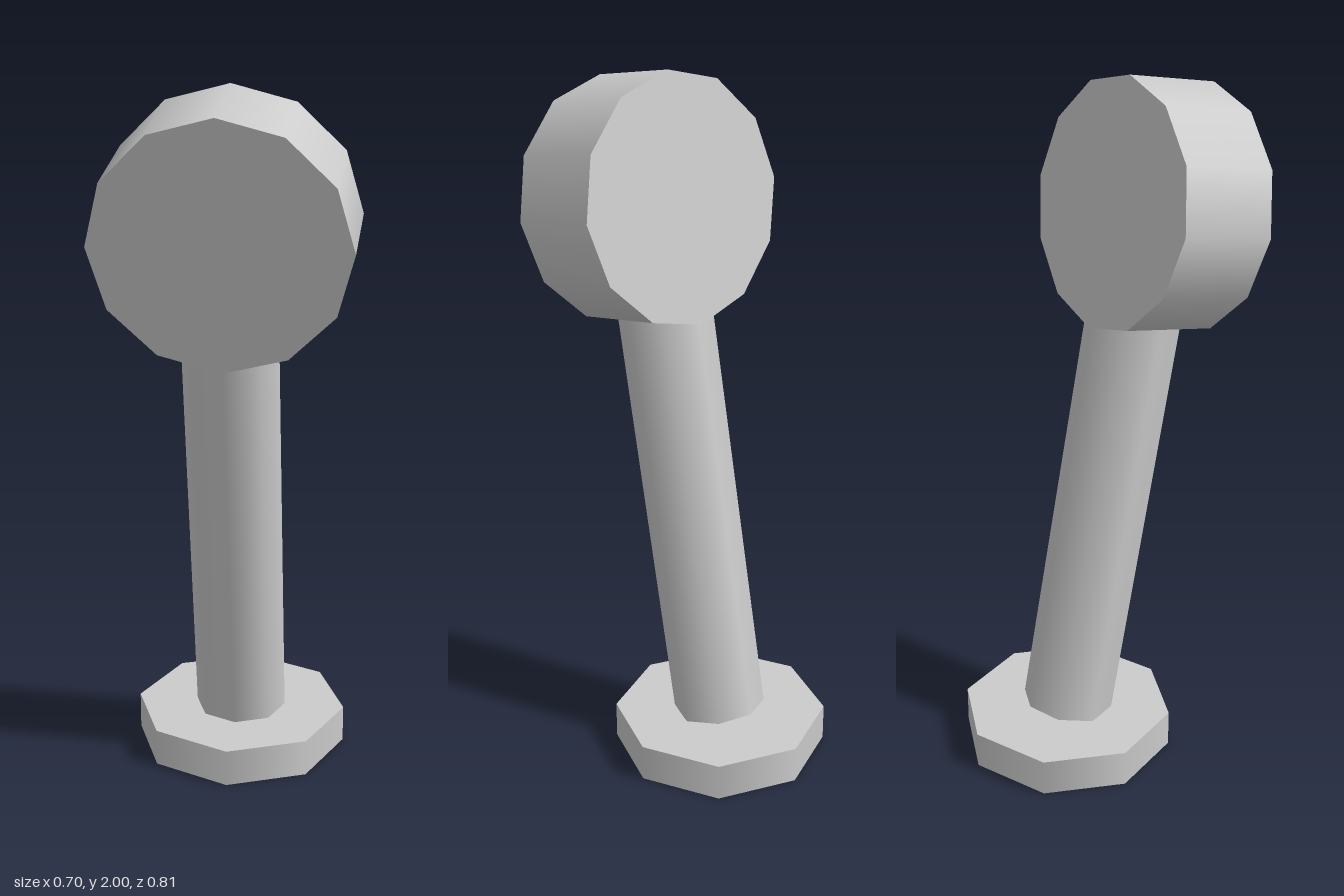
import * as THREE from 'three';

export function createModel() {
  const model = new THREE.Group();
  const grey = new THREE.MeshStandardMaterial({ color: 0xcccccc });
  grey.name = 'light grey';

  const addPart = (parent, name, geometry) => {
    const mesh = new THREE.Mesh(geometry, grey);
    mesh.name = name;
    parent.add(mesh);
    return mesh;
  };

  // Flat octagonal foot on the ground
  addPart(model, 'base', new THREE.CylinderGeometry(0.315, 0.315, 0.11, 8))
    .position.set(0, 0.055, -0.09);

  // Post and head lean forward together
  const arm = new THREE.Group();
  arm.name = 'leaningArm';
  arm.position.set(0, 0.114, -0.088);
  arm.rotation.x = 0.187;
  model.add(arm);

  const reach = 1.545;
  addPart(arm, 'post', new THREE.CylinderGeometry(0.135, 0.135, reach, 8))
    .position.y = reach / 2;

  // Twelve-sided drum facing forward
  const drum = new THREE.CylinderGeometry(0.348, 0.348, 0.285, 12).rotateX(Math.PI / 2);
  addPart(arm, 'head', drum).position.set(0, reach, -0.004);

  return model;
}
